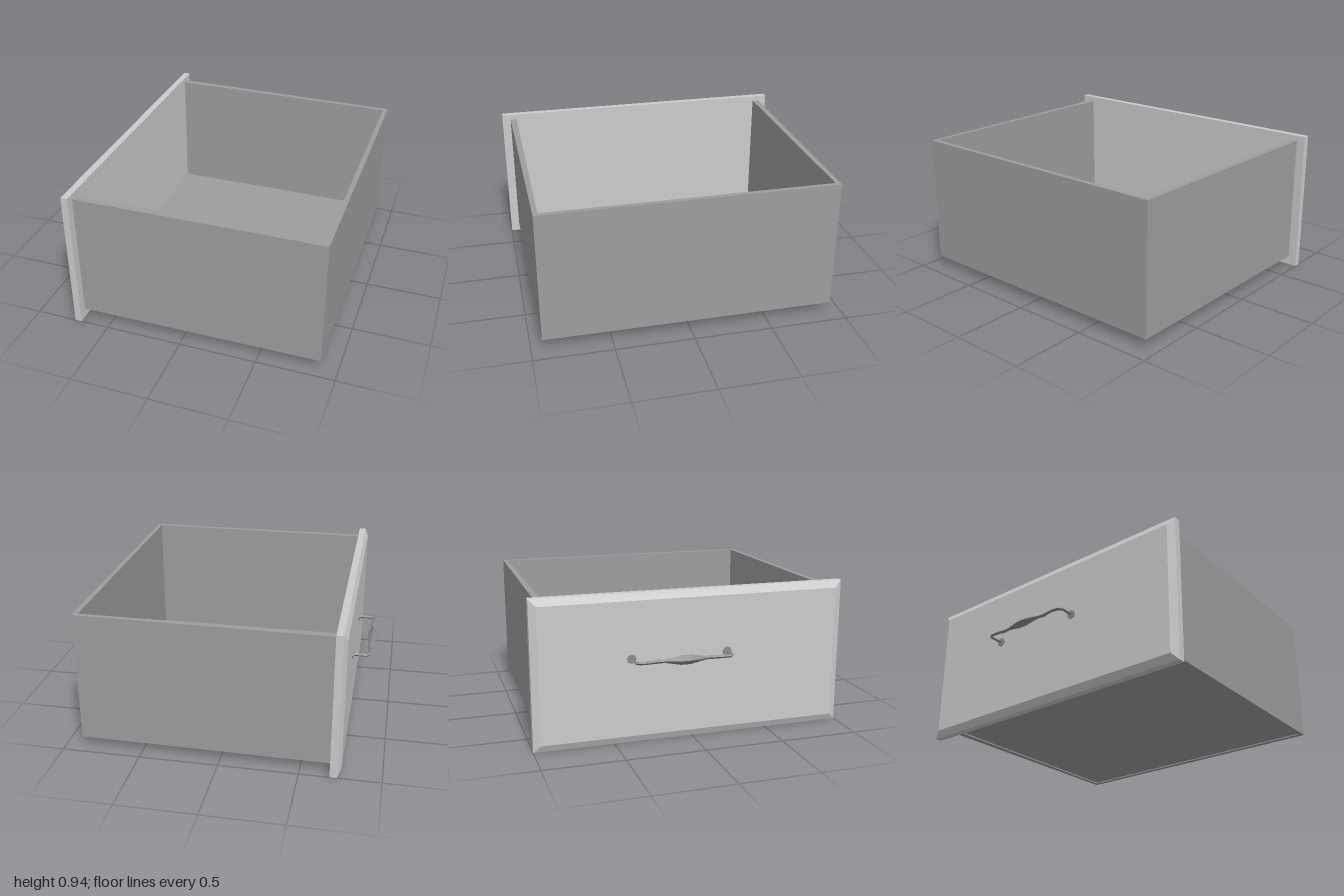
import * as THREE from 'three';

const grey = (color) => new THREE.MeshStandardMaterial({ color, flatShading: true });

function addMesh(parent, name, geometry, material, x = 0, y = 0, z = 0) {
  const mesh = new THREE.Mesh(geometry, material);
  mesh.name = name;
  mesh.position.set(x, y, z);
  parent.add(mesh);
}

// Two sides and a back as one U, tapering slightly towards the back
function wallsGeometry() {
  const outline = [
    [-0.7, -0.943], [0.893, -0.929], [0.893, 0.929], [-0.7, 0.943],
    [-0.7, 0.9], [0.862, 0.9], [0.862, -0.9], [-0.7, -0.9],
  ];
  const shape = new THREE.Shape(outline.map(([x, y]) => new THREE.Vector2(x, y)));
  return new THREE.ExtrudeGeometry(shape, { depth: 0.84, bevelEnabled: false }).rotateX(-Math.PI / 2);
}

// Slab whose outer face is chamfered all round
function panelGeometry() {
  const depth = 0.066, height = 0.936, width = 2, inset = 0.045;
  const geometry = new THREE.BoxGeometry(depth, height, width, 2, 1, 1);
  const p = geometry.attributes.position;
  for (let i = 0; i < p.count; i++) {
    if (Math.abs(p.getX(i)) < 0.001) p.setX(i, -depth / 2 + 0.022);
    else if (p.getX(i) < 0) {
      p.setY(i, p.getY(i) - Math.sign(p.getY(i)) * inset);
      p.setZ(i, p.getZ(i) - Math.sign(p.getZ(i)) * inset);
    }
  }
  geometry.computeVertexNormals();
  return geometry;
}

// Diamond section swept along a path in the horizontal plane: [x, z, radius]
function handleGeometry(path) {
  const positions = [], index = [], sides = 4;
  path.forEach(([x, z, r], i) => {
    const a = path[Math.max(i - 1, 0)], b = path[Math.min(i + 1, path.length - 1)];
    const t = new THREE.Vector2(b[0] - a[0], b[1] - a[1]).normalize();
    for (let k = 0; k < sides; k++) {
      const angle = (k / sides) * Math.PI * 2;
      const n = Math.cos(angle) * r;
      positions.push(x - t.y * n, Math.sin(angle) * r, z + t.x * n);
      if (i === 0) continue;
      const c = i * sides + k, d = i * sides + ((k + 1) % sides);
      index.push(c - sides, c, d, c - sides, d, d - sides);
    }
  });
  const geometry = new THREE.BufferGeometry();
  geometry.setAttribute('position', new THREE.Float32BufferAttribute(positions, 3));
  geometry.setIndex(index);
  geometry.computeVertexNormals();
  return geometry;
}

export function createModel() {
  const panelGrey = grey(0xcccccc);
  const boxGrey = grey(0x9d9d9d);
  const handleGrey = grey(0x8c8c8c);
  handleGrey.side = THREE.DoubleSide;

  const drawer = new THREE.Group();
  drawer.name = 'drawer';

  addMesh(drawer, 'walls', wallsGeometry(), boxGrey, 0, 0.062, 0);
  addMesh(drawer, 'floor', new THREE.BoxGeometry(1.57, 0.012, 1.81), boxGrey, 0.085, 0.076, 0);
  addMesh(drawer, 'frontPanel', panelGeometry(), panelGrey, -0.721, 0.468, 0);

  // Pull handle: two posts and a wavy bar with a swollen grip
  const handle = new THREE.Group();
  handle.name = 'handle';
  handle.position.set(0, 0.536, -0.086);
  drawer.add(handle);

  const half = [
    [-0.75, 0.307, 0.01], [-0.842, 0.307, 0.01], [-0.86, 0.288, 0.011], [-0.864, 0.255, 0.011],
    [-0.86, 0.21, 0.011], [-0.853, 0.17, 0.013], [-0.857, 0.13, 0.011], [-0.862, 0.09, 0.018],
  ];
  const mirrored = half.map(([x, z, r]) => [x, -z, r]).reverse();
  const path = [...half, [-0.863, 0.03, 0.03], [-0.863, -0.03, 0.03], ...mirrored];
  addMesh(handle, 'bar', handleGeometry(path), handleGrey);

  for (const side of [-1, 1]) {
    const rosette = new THREE.CylinderGeometry(0.028, 0.03, 0.008, 8).rotateZ(Math.PI / 2);
    addMesh(handle, 'rosette', rosette, handleGrey, -0.757, 0, side * 0.307);
  }
  return drawer;
}
